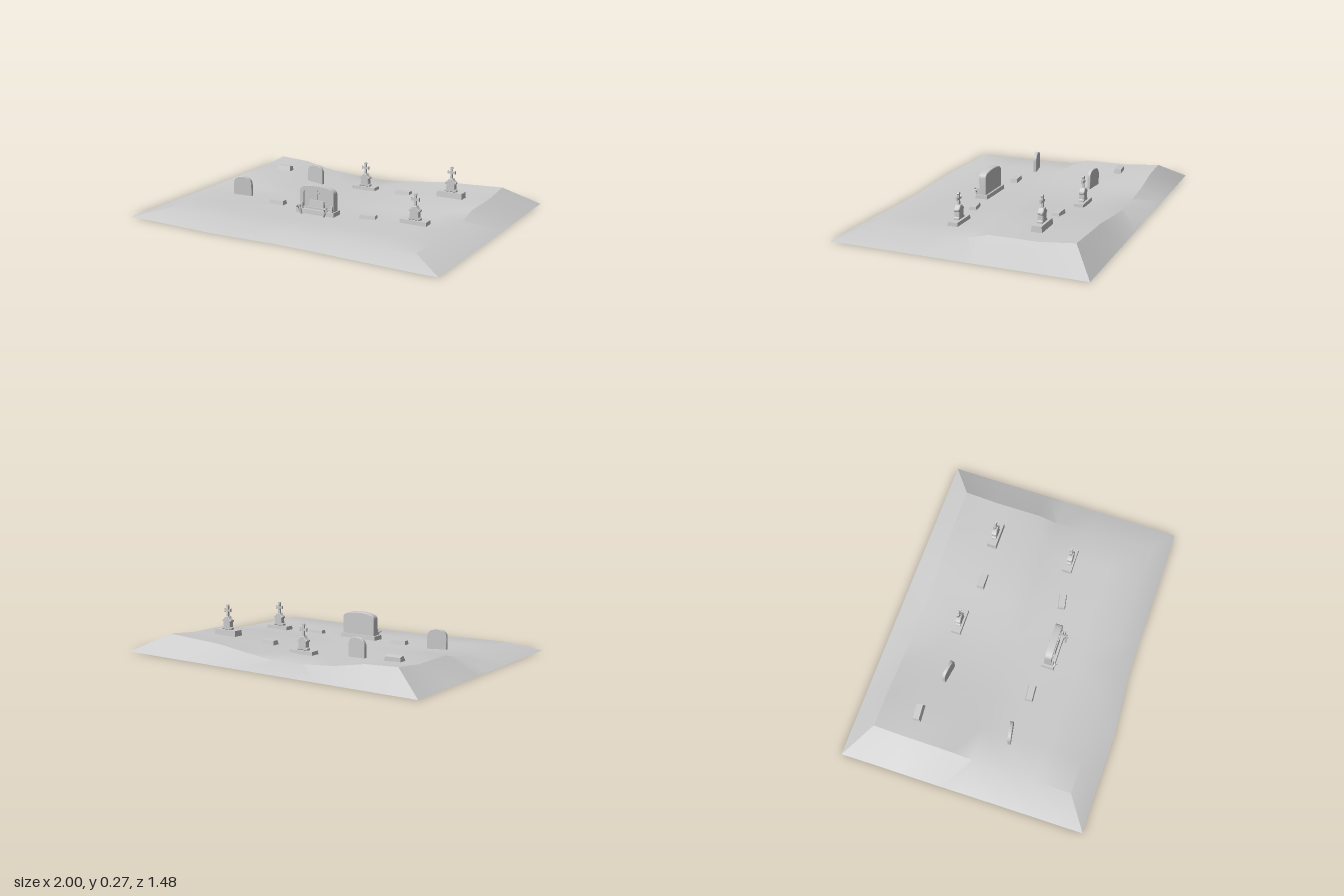
import * as THREE from 'three';
import { toCreasedNormals } from 'three/addons/utils/BufferGeometryUtils.js';

const stone = new THREE.MeshStandardMaterial({ color: 0xcccccc });
const earth = new THREE.MeshStandardMaterial({ color: 0xcccccc, side: THREE.DoubleSide });

function add(parent, name, geometry, x = 0, y = 0, z = 0, material = stone) {
  const mesh = new THREE.Mesh(geometry, material);
  mesh.name = name;
  mesh.position.set(x, y, z);
  parent.add(mesh);
  return mesh;
}

function place(root, name, x, y, z, turn = 0) {
  const group = new THREE.Group();
  group.name = name;
  group.position.set(x, y, z);
  group.rotation.y = turn;
  root.add(group);
  return group;
}

// Extrude a shape to the given depth, centred on z, with a small bevel
function slice(shape, depth, bevel = 0) {
  const g = new THREE.ExtrudeGeometry(shape, {
    depth: depth - 2 * bevel, bevelEnabled: bevel > 0, bevelSize: bevel, bevelThickness: bevel,
    bevelOffset: -bevel, bevelSegments: 1, curveSegments: 8,
  });
  g.translate(0, 0, bevel - depth / 2);
  return toCreasedNormals(g, 0.5);
}

// Symmetric outline from the right-hand half, listed bottom to top
function mirrored(half) {
  const left = half.slice().reverse().map(([x, y]) => [-x, y]);
  return new THREE.Shape([...half, ...left].map(([x, y]) => new THREE.Vector2(x, y)));
}

// Box whose top face is drawn in
function frustum(w, h, d, inset) {
  const g = new THREE.BoxGeometry(w, h, d).toNonIndexed();
  const p = g.attributes.position;
  for (let i = 0; i < p.count; i++) {
    if (p.getY(i) > 0) {
      p.setX(i, p.getX(i) - Math.sign(p.getX(i)) * inset);
      p.setZ(i, p.getZ(i) - Math.sign(p.getZ(i)) * inset);
    }
  }
  g.computeVertexNormals();
  return g;
}

// Uneven ground: low through the middle, banked at the sides and back, sloping to zero at the rim
function groundGeometry() {
  const xs = [-1, -0.8, -0.6, -0.4, -0.2, 0, 0.2, 0.4, 0.6, 0.8, 1];
  const bank = [1, 1, 0.85, 0.3, 0.06, 0, 0.3, 0.7, 0.85, 1, 1];
  const frontZ = [0.73, 0.73, 0.735, 0.74, 0.728, 0.715, 0.715, 0.72, 0.725, 0.73, 0.73];
  const zs = [-0.74, -0.6, -0.4, -0.12, 0, 0.2, 0.4, 0.6, 0.73];
  const side = [0, 0.11, 0.09, 0.09, 0.06, 0.056, 0.054, 0.052, 0];
  const middle = [0, 0.045, 0.045, 0.045, 0.045, 0.045, 0.04, 0.037, 0];
  const pos = [], index = [];
  const nx = xs.length, nz = zs.length;
  for (let j = 0; j < nz; j++) {
    for (let i = 0; i < nx; i++) {
      const rim = i === 0 || i === nx - 1;
      const x = rim ? xs[i] * (1 - 0.015 * j / (nz - 1)) : xs[i];
      let z = zs[j];
      if (j === nz - 1) z = frontZ[i];
      if (rim && j === 1) z = -0.66;
      if (rim && j === nz - 2) z = 0.65;
      pos.push(x, rim ? 0 : middle[j] + (side[j] - middle[j]) * bank[i], z);
    }
  }
  for (let j = 0; j < nz - 1; j++) {
    for (let i = 0; i < nx - 1; i++) {
      const a = j * nx + i, b = a + 1, c = a + nx, d = c + 1;
      if ((i < nx / 2 - 0.5) === (j < nz / 2 - 0.5)) index.push(a, c, d, a, d, b);
      else index.push(a, c, b, b, c, d);
    }
  }
  const g = new THREE.BufferGeometry();
  g.setAttribute('position', new THREE.Float32BufferAttribute(pos, 3));
  g.setIndex(index);
  g.computeVertexNormals();
  return toCreasedNormals(g, 0.4);
}

// Plinth, waisted pedestal and standing cross
function crossMonument(root, x, y, z) {
  const g = place(root, 'crossMonument', x, y, z);
  add(g, 'plinth', frustum(0.165, 0.034, 0.062, 0.003), 0, 0.008, 0);
  const body = mirrored([[0.036, 0], [0.036, 0.01], [0.028, 0.016], [0.026, 0.044],
    [0.035, 0.05], [0.035, 0.058], [0.02, 0.067], [0.012, 0.08]]);
  add(g, 'pedestal', slice(body, 0.032, 0.003), 0, 0.025, 0);
  const cross = mirrored([[0.007, 0], [0.006, 0.035], [0.019, 0.035], [0.024, 0.031], [0.024, 0.052],
    [0.019, 0.047], [0.006, 0.047], [0.006, 0.062], [0.01, 0.068], [0.006, 0.075]]);
  add(g, 'cross', slice(cross, 0.012), 0, 0.1, 0);
}

// Thin upright stone with a rounded head
function headstone(root, x, y, z, turn) {
  const g = place(root, 'headstone', x, y, z, turn);
  const s = new THREE.Shape();
  s.moveTo(-0.06, -0.01);
  s.lineTo(0.06, -0.01);
  s.lineTo(0.06, 0.075);
  s.bezierCurveTo(0.06, 0.11, 0.04, 0.125, 0, 0.125);
  s.bezierCurveTo(-0.04, 0.125, -0.06, 0.11, -0.06, 0.075);
  add(g, 'tablet', slice(s, 0.02, 0.002));
}

// Low grave marker
function marker(root, x, y, z, turn, pitch = 0) {
  const g = place(root, 'graveMarker', x, y, z, turn);
  add(g, 'slab', frustum(0.102, 0.03, 0.05, 0.006), 0, 0.007, 0).rotation.x = pitch;
}

// Leaning bunch of flowers in a small vase
function bouquet(parent, x, z, lean) {
  const g = place(parent, 'bouquet', x, 0, z);
  g.rotation.z = lean;
  add(g, 'vase', new THREE.CylinderGeometry(0.009, 0.006, 0.035, 8), 0, 0.012, 0);
  for (let i = 0; i < 3; i++) {
    const a = i * Math.PI * 2 / 3;
    const stem = add(g, 'flower', new THREE.ConeGeometry(0.007, 0.03, 6),
      Math.cos(a) * 0.007, 0.038, Math.sin(a) * 0.007);
    stem.rotation.set(Math.PI + Math.sin(a) * 0.4, 0, Math.cos(a) * 0.4);
  }
}

// Wide family monument with a recessed front panel
function largeMonument(root) {
  const g = place(root, 'largeMonument', 0, 0.045, 0.235);
  add(g, 'base', frustum(0.255, 0.034, 0.08, 0.003), -0.003, 0.008, 0.003);
  const arch = (w, bottom, shoulder, top) => {
    const s = new THREE.Shape();
    s.moveTo(-w, bottom);
    s.lineTo(w, bottom);
    s.lineTo(w, shoulder);
    s.bezierCurveTo(w, top - 0.012, w * 0.75, top - 0.002, 0, top);
    s.bezierCurveTo(-w * 0.75, top - 0.002, -w, top - 0.012, -w, shoulder);
    return s;
  };
  add(g, 'backSlab', slice(arch(0.113, 0.02, 0.125, 0.163), 0.034, 0.003), 0, 0, -0.006);
  const frame = arch(0.113, 0.02, 0.125, 0.163);
  frame.holes.push(arch(0.09, 0.035, 0.115, 0.143));
  add(g, 'panelFrame', slice(frame, 0.012), 0, 0, 0.014);
  // Raised cross and plaque on the panel
  add(g, 'reliefCross', new THREE.BoxGeometry(0.007, 0.055, 0.008), 0, 0.11, 0.012);
  add(g, 'reliefCrossArm', new THREE.BoxGeometry(0.032, 0.007, 0.008), 0, 0.122, 0.012);
  add(g, 'plaque', frustum(0.1, 0.038, 0.016, 0.004), 0, 0.06, 0.018);
  for (const s of [-1, 1]) {
    add(g, 'sidePost', frustum(0.022, 0.035, 0.016, 0.003), s * 0.1, 0.04, 0.026);
    bouquet(g, s * 0.075 - 0.01, 0.054, s * -0.35);
  }
}

export function createModel() {
  const root = new THREE.Group();
  root.name = 'graveyard';
  add(root, 'ground', groundGeometry(), 0, 0, 0, earth);

  crossMonument(root, 0.58, 0.095, -0.33);
  crossMonument(root, -0.015, 0.042, -0.355);
  crossMonument(root, 0.58, 0.052, 0.16);

  headstone(root, -0.585, 0.045, 0.163, 0.17);
  headstone(root, -0.35, 0.045, -0.305, -0.15);

  marker(root, -0.64, 0.09, -0.385, 0.08, -0.15);
  marker(root, 0.275, 0.064, -0.31, 0);
  marker(root, -0.31, 0.048, 0.195, 0.07);
  marker(root, 0.305, 0.048, 0.195, 0.18);

  largeMonument(root);
  return root;
}
